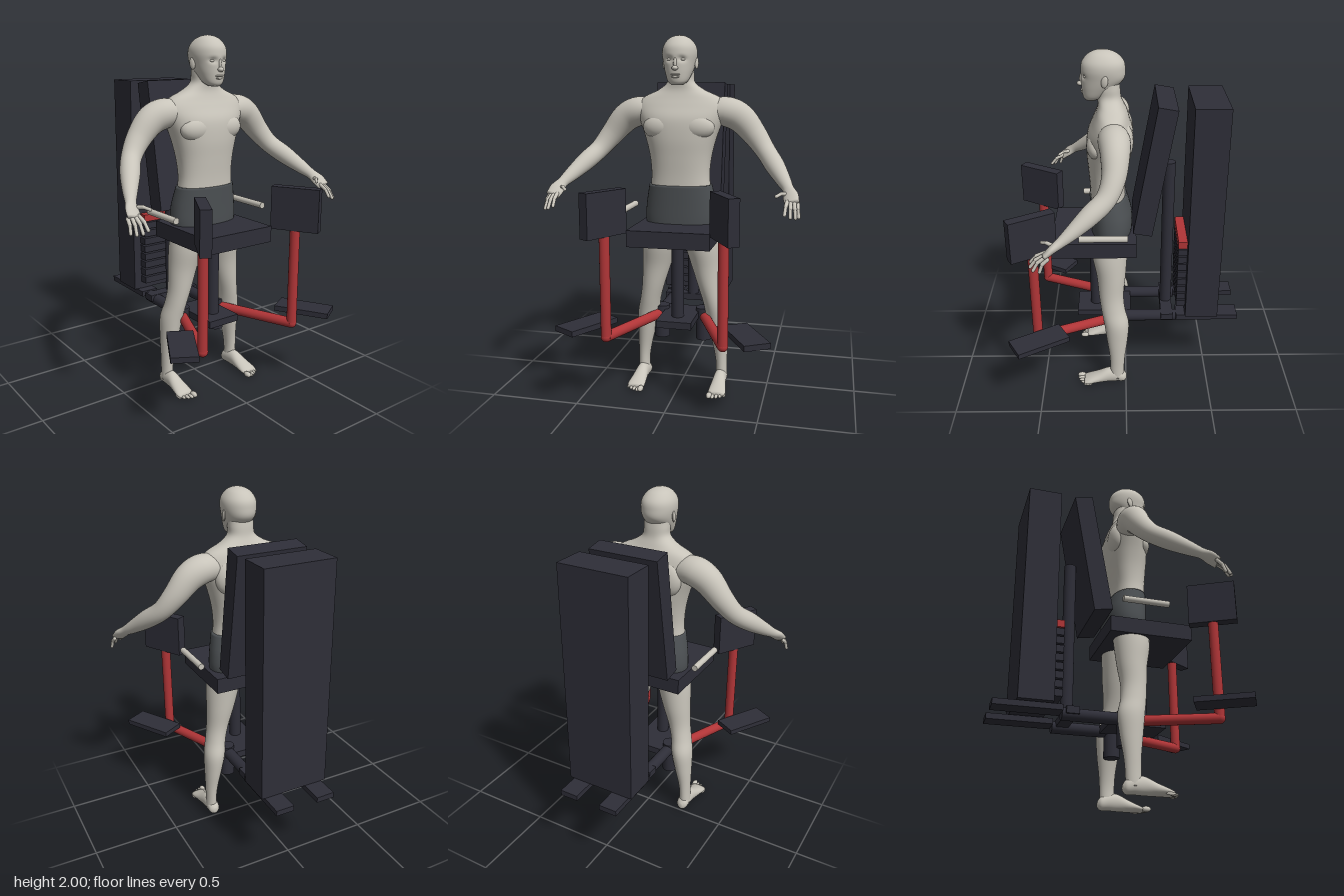
import * as THREE from 'three';

const mat = (name, color) => Object.assign(new THREE.MeshStandardMaterial({ color }), { name });
const V = (x, y, z) => new THREE.Vector3(x, y, z);
const UP = V(0, 1, 0), FRONT = V(0, 0, 1);

// Smooth closed skin through elliptical sections [x, y, z, a, b]; dir fixes the ring plane
function loft(sections, ref, dir, power = 1, seg = 32, sub = 5) {
  const path = new THREE.CatmullRomCurve3(sections.map(s => V(s[0], s[1], s[2])), false, 'catmullrom');
  const radii = new THREE.CatmullRomCurve3(sections.map(s => V(s[3], s[4], 0)), false, 'catmullrom');
  const n = (sections.length - 1) * sub, pos = [], idx = [];
  const sp = v => Math.sign(v) * Math.abs(v) ** power;
  for (let i = 0; i <= n; i++) {
    const c = path.getPoint(i / n), r = radii.getPoint(i / n);
    const d = dir || path.getTangent(i / n);
    const u = d.clone().cross(ref).normalize(), v = d.clone().cross(u).normalize();
    for (let j = 0; j < seg; j++) {
      const t = j / seg * Math.PI * 2;
      const p = c.clone().addScaledVector(u, r.x * sp(Math.cos(t))).addScaledVector(v, r.y * sp(Math.sin(t)));
      pos.push(p.x, p.y, p.z);
    }
  }
  for (let i = 0; i < n; i++) for (let j = 0; j < seg; j++) {
    const a = i * seg + j, b = i * seg + (j + 1) % seg;
    idx.push(a, b, a + seg, b, b + seg, a + seg);
  }
  const first = path.getPoint(0), last = path.getPoint(1), k = pos.length / 3, top = n * seg;
  pos.push(first.x, first.y, first.z, last.x, last.y, last.z);
  for (let j = 0; j < seg; j++) {
    const m = (j + 1) % seg;
    idx.push(k, m, j, k + 1, top + j, top + m);
  }
  const g = new THREE.BufferGeometry();
  g.setAttribute('position', new THREE.Float32BufferAttribute(pos, 3));
  g.setIndex(idx);
  g.computeVertexNormals();
  return g;
}

export function createModel() {
  const model = new THREE.Group();
  model.name = 'hipMachineWithFigure';
  const machine = new THREE.Group(), figure = new THREE.Group();
  machine.name = 'machine';
  figure.name = 'figure';
  model.add(machine, figure);

  const dark = mat('darkFrame', 0x2e2e38), red = mat('redSteel', 0xb03537);
  const pale = mat('paleSkin', 0xc8c4ba), cloth = mat('shortsGrey', 0x4c5053);

  const add = (parent, name, geo, material, x = 0, y = 0, z = 0) => {
    const m = new THREE.Mesh(geo, material);
    m.name = name;
    m.position.set(x, y, z);
    parent.add(m);
    return m;
  };
  const box = (name, w, h, d, x, y, z, material = dark) =>
    add(machine, name, new THREE.BoxGeometry(w, h, d), material, x, y, z);
  const between = (parent, name, a, b, geo, material) => {
    const m = add(parent, name, geo, material);
    m.position.copy(a).lerp(b, 0.5);
    m.quaternion.setFromUnitVectors(UP, b.clone().sub(a).normalize());
    return m;
  };
  const rod = (name, a, b, r, material) =>
    between(machine, name, a, b, new THREE.CylinderGeometry(r, r, a.distanceTo(b), 24), material);
  const finger = (name, a, b, r) =>
    between(figure, name, a, b, new THREE.CapsuleGeometry(r, a.distanceTo(b), 4, 10), pale);
  const blob = (name, x, y, z, rx, ry, rz) => {
    const m = add(figure, name, new THREE.SphereGeometry(1, 20, 14), pale, x, y, z);
    m.scale.set(rx, ry, rz);
    return m;
  };

  // Machine: tower, seat, backrest and posts
  box('weightTower', 0.405, 1.285, 0.19, 0, 1.1025, -0.447);
  box('seat', 0.453, 0.09, 0.475, 0, 0.93, 0.178);
  box('backrest', 0.405, 0.737, 0.107, 0, 1.382, -0.155).rotation.x = -0.17;
  rod('backPost', V(0, 0.42, -0.245), V(0, 1.375, -0.245), 0.035, dark);
  rod('seatPost', V(0, 0.42, 0.18), V(0, 0.89, 0.18), 0.035, dark);
  box('centreBeam', 0.2, 0.04, 0.32, 0, 0.42, 0.13);
  box('crossBeam', 0.34, 0.04, 0.07, 0, 0.435, -0.245);

  // Weight stack
  for (let i = 0; i < 8; i++) box('weightPlate', 0.31, 0.04, 0.1, 0, 0.525 + i * 0.05, -0.35);
  box('topWeight', 0.31, 0.042, 0.06, 0, 0.923, -0.33, red);

  for (const s of [1, -1]) {
    // Base rails, pivots and handles
    box('baseFoot', 0.107, 0.032, 0.365, s * 0.127, 0.44, -0.4825);
    rod('baseRail', V(s * 0.125, 0.42, -0.3), V(s * 0.125, 0.42, 0.045), 0.034, dark);
    rod('pivot', V(s * 0.125, 0.27, 0.047), V(s * 0.125, 0.46, 0.047), 0.045, dark);
    rod('handle', V(s * 0.3, 1.05, -0.01), V(s * 0.3, 1.05, 0.255), 0.018, pale);
    // Swinging arm with knee pad and foot plate
    rod('swingArm', V(s * 0.125, 0.41, 0.047), V(s * 0.315, 0.41, 0.51), 0.029, red);
    rod('padPost', V(s * 0.315, 0.41, 0.51), V(s * 0.315, 0.97, 0.51), 0.028, red);
    add(machine, 'armElbow', new THREE.SphereGeometry(0.029, 20, 12), red, s * 0.315, 0.41, 0.51);
    box('kneePad', 0.06, 0.24, 0.267, s * 0.317, 1.08, 0.51).rotation.y = s * Math.PI / 6;
    box('footPlate', 0.142, 0.03, 0.31, s * 0.43, 0.465, 0.49).rotation.y = s * Math.PI / 6;
  }

  // Figure: torso, neck and shorts; rows are y, centre z, half width, half depth
  const column = rows => rows.map(([y, z, a, b]) => [0, y, z, a, b]);
  add(figure, 'torso', loft(column([
    [1.16, 0.1, 0.172, 0.098], [1.25, 0.1, 0.165, 0.1], [1.35, 0.095, 0.175, 0.112],
    [1.45, 0.09, 0.2, 0.124], [1.55, 0.083, 0.235, 0.125], [1.62, 0.078, 0.25, 0.102],
    [1.67, 0.075, 0.215, 0.084], [1.71, 0.078, 0.13, 0.07], [1.75, 0.086, 0.078, 0.063],
    [1.8, 0.09, 0.072, 0.062], [1.85, 0.095, 0.07, 0.06]]), FRONT, UP, 0.88, 40), pale);
  add(figure, 'shorts', loft(column([
    [0.93, 0.085, 0.195, 0.11], [1.0, 0.08, 0.205, 0.118], [1.07, 0.082, 0.2, 0.118],
    [1.13, 0.09, 0.19, 0.112], [1.19, 0.1, 0.178, 0.104]]), FRONT, UP, 0.88, 40), cloth);

  // Head with eye sockets pressed in
  const head = loft(column([
    [1.735, 0.18, 0.028, 0.032], [1.755, 0.168, 0.053, 0.056], [1.8, 0.143, 0.072, 0.088],
    [1.85, 0.12, 0.086, 0.113], [1.9, 0.117, 0.094, 0.117], [1.94, 0.117, 0.088, 0.109],
    [1.975, 0.118, 0.064, 0.078], [1.993, 0.12, 0.034, 0.041], [2, 0.12, 0.003, 0.003]]), FRONT, UP, 0.95, 64, 8);
  const hp = head.attributes.position;
  for (let i = 0; i < hp.count; i++) {
    const dx = (Math.abs(hp.getX(i)) - 0.036) / 0.02, dy = (hp.getY(i) - 1.87) / 0.014;
    if (hp.getZ(i) > 0.15) hp.setZ(i, hp.getZ(i) - 0.014 * Math.exp(-dx * dx - dy * dy));
  }
  head.computeVertexNormals();
  add(figure, 'head', head, pale);
  blob('noseBridge', 0, 1.845, 0.228, 0.01, 0.034, 0.014);
  blob('noseTip', 0, 1.823, 0.237, 0.017, 0.013, 0.019);
  blob('upperLip', 0, 1.79, 0.226, 0.027, 0.006, 0.01);
  blob('lowerLip', 0, 1.778, 0.223, 0.023, 0.007, 0.011);

  for (const s of [1, -1]) {
    const side = rows => rows.map(([x, ...rest]) => [s * x, ...rest]);
    blob('eye', s * 0.036, 1.868, 0.209, 0.014, 0.008, 0.01);
    const ear = blob('ear', s * 0.09, 1.853, 0.108, 0.009, 0.032, 0.019);
    ear.rotation.set(-0.15, -s * 0.3, 0);
    blob('chestMuscle', s * 0.1, 1.51, 0.155, 0.1, 0.07, 0.056);
    blob('shoulderBlade', s * 0.11, 1.54, 0.01, 0.085, 0.1, 0.052);

    // Arm from shoulder to palm
    add(figure, 'arm', loft(side([
      [0.17, 1.59, 0.07, 0.07, 0.075], [0.25, 1.592, 0.06, 0.082, 0.084], [0.33, 1.555, 0.055, 0.08, 0.076],
      [0.41, 1.465, 0.062, 0.066, 0.063], [0.475, 1.38, 0.1, 0.054, 0.054], [0.53, 1.315, 0.18, 0.052, 0.052],
      [0.585, 1.248, 0.27, 0.039, 0.037], [0.615, 1.21, 0.325, 0.03, 0.026],
      [0.63, 1.182, 0.365, 0.04, 0.021], [0.641, 1.15, 0.402, 0.038, 0.015]]), FRONT), pale);

    // Fingers and thumb: base, tip
    const digits = [
      [0.668, 1.148, 0.385, 0.677, 1.085, 0.425], [0.652, 1.15, 0.4, 0.663, 1.085, 0.458],
      [0.634, 1.153, 0.405, 0.638, 1.09, 0.475], [0.616, 1.158, 0.402, 0.61, 1.102, 0.475],
      [0.608, 1.19, 0.355, 0.563, 1.185, 0.42]];
    for (const [ax, ay, az, bx, by, bz] of digits) {
      const a = V(s * ax, ay, az), b = V(s * bx, by, bz);
      const mid = a.clone().lerp(b, 0.5).add(V(0, 0.008, 0.006));
      finger('fingerBase', a, mid, 0.0105);
      finger('fingerTip', mid, b, 0.009);
    }

    // Leg, thigh to ankle
    add(figure, 'leg', loft(side([
      [0.235, 0.04, 0.055, 0.034, 0.042], [0.235, 0.12, 0.053, 0.032, 0.042], [0.23, 0.2, 0.052, 0.038, 0.047],
      [0.218, 0.31, 0.052, 0.051, 0.062], [0.205, 0.42, 0.056, 0.062, 0.073], [0.187, 0.51, 0.075, 0.06, 0.07],
      [0.167, 0.6, 0.085, 0.066, 0.072], [0.145, 0.72, 0.085, 0.083, 0.084],
      [0.125, 0.84, 0.092, 0.098, 0.1], [0.108, 0.95, 0.09, 0.1, 0.105]]), FRONT, UP), pale);

    // Foot and toes
    add(figure, 'foot', loft(side([
      [0.232, 0.035, -0.003, 0.012, 0.016], [0.232, 0.04, 0.015, 0.032, 0.036], [0.233, 0.05, 0.055, 0.036, 0.046],
      [0.234, 0.05, 0.11, 0.037, 0.048], [0.236, 0.036, 0.17, 0.044, 0.034],
      [0.238, 0.024, 0.225, 0.05, 0.022], [0.238, 0.018, 0.255, 0.045, 0.014]]), UP, FRONT), pale);
    for (let i = 0; i < 5; i++) {
      const r = i ? 0.0105 - i * 0.0005 : 0.016;
      blob('toe', s * (0.2 + i * 0.02), r + 0.003, 0.272 - i * i * 0.0024, r, r, 0.027);
    }
  }
  return model;
}
